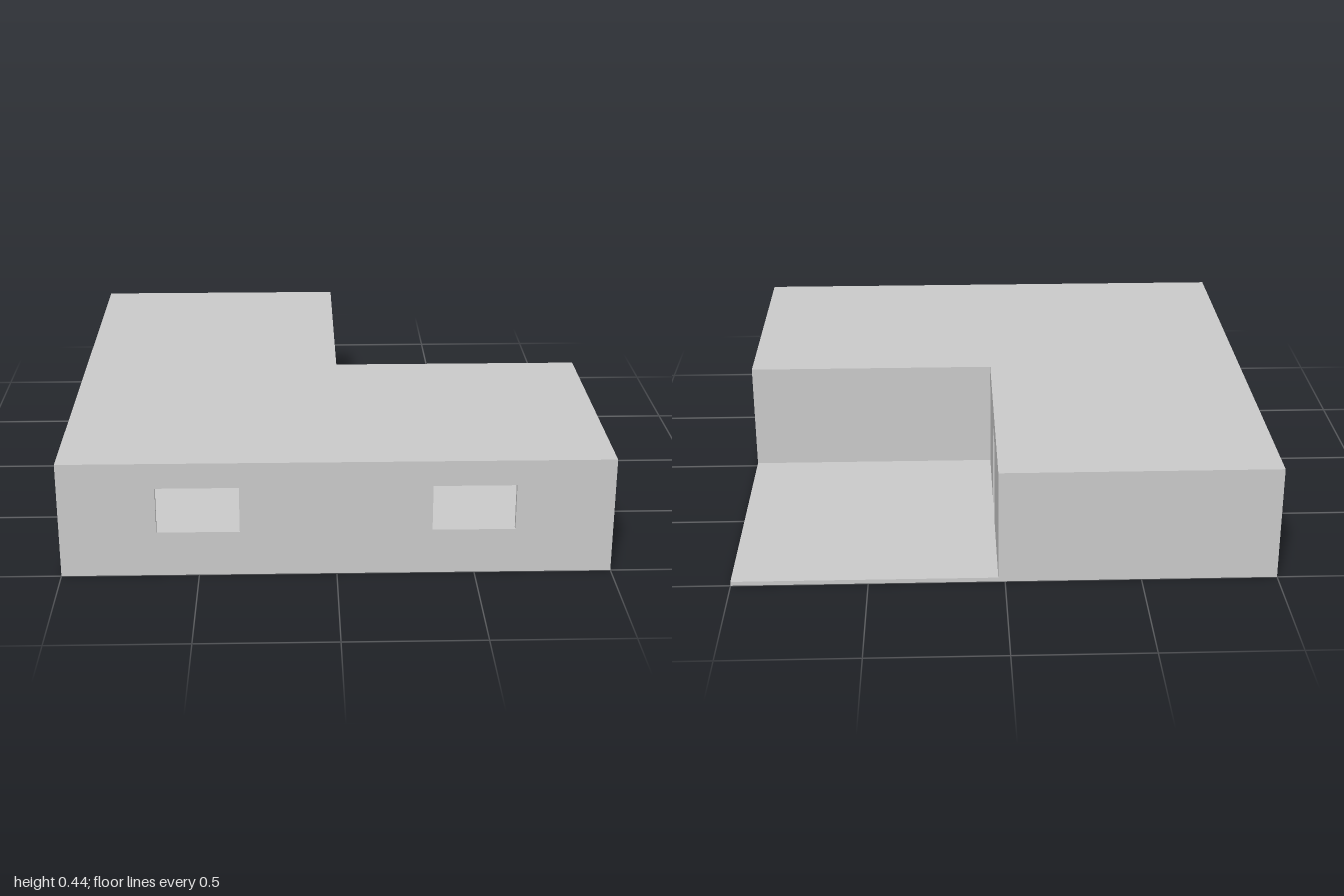
import * as THREE from 'three';

const FLOOR = 0.016, ROOF = 0.43, TOP = 0.44; // heights
const T = 0.02;                               // wall thickness
const SILL = 0.171, HEAD = 0.344;             // window and door heights
const NX = 0.025, NZ = -0.008;                // inner corner of the L

// Upright wall outline from a to b, with window holes and an optional door notch
function wallGeometry(a, b, windows = [], door = null) {
  const shape = new THREE.Shape();
  shape.moveTo(a, FLOOR);
  if (door) {
    shape.lineTo(door[0], FLOOR);
    shape.lineTo(door[0], HEAD);
    shape.lineTo(door[1], HEAD);
    shape.lineTo(door[1], FLOOR);
  }
  shape.lineTo(b, FLOOR);
  shape.lineTo(b, ROOF);
  shape.lineTo(a, ROOF);
  shape.closePath();
  for (const [l, r] of windows) {
    const hole = new THREE.Path();
    hole.moveTo(l, SILL);
    hole.lineTo(l, HEAD);
    hole.lineTo(r, HEAD);
    hole.lineTo(r, SILL);
    hole.closePath();
    shape.holes.push(hole);
  }
  return new THREE.ExtrudeGeometry(shape, { depth: T, bevelEnabled: false });
}

export function createModel() {
  const house = new THREE.Group();
  house.name = 'house';
  const plaster = new THREE.MeshStandardMaterial({ color: 0xcccccc });
  plaster.name = 'plaster grey';

  const add = (name, geometry) => {
    const mesh = new THREE.Mesh(geometry, plaster);
    mesh.name = name;
    house.add(mesh);
    return mesh;
  };
  // Wall running along x, its front face at z
  const wallX = (name, z, ...spec) => {
    add(name, wallGeometry(...spec)).position.z = z - T;
  };
  // Wall running along z, its +x face at x
  const wallZ = (name, x, ...spec) => {
    const mesh = add(name, wallGeometry(...spec));
    mesh.rotation.y = -Math.PI / 2;
    mesh.position.x = x;
  };

  // Square floor slab, also forming the terrace
  add('floorSlab', new THREE.BoxGeometry(2, FLOOR, 2)).position.y = FLOOR / 2;

  // Outer walls
  wallX('frontWall', 1, -1, 1, [[-0.65, -0.35], [0.345, 0.645]]);
  wallX('backWall', -1 + T, -1, NX);
  wallX('terraceWall', NZ + T, NX, 1);
  wallZ('windowSideWall', -1 + T, -1 + T, 1 - T, [[-0.68, -0.38], [0.36, 0.66]]);
  wallZ('plainSideWall', 1, NZ + T, 1 - T);
  wallZ('doorWall', NX, -1 + T, NZ, [], [-0.57, -0.4]);

  // Partition between the two rooms
  wallX('partitionWall', NZ + T, -1 + T, NX, [], [-0.63, -0.465]);

  // Flat L-shaped roof (shape y becomes -z)
  const outline = new THREE.Shape([
    [-1, -1], [1, -1], [1, -NZ], [NX, -NZ], [NX, 1], [-1, 1],
  ].map(([x, y]) => new THREE.Vector2(x, y)));
  const roof = add('roof', new THREE.ExtrudeGeometry(outline, { depth: TOP - ROOF, bevelEnabled: false }));
  roof.rotation.x = -Math.PI / 2;
  roof.position.y = ROOF;

  return house;
}
